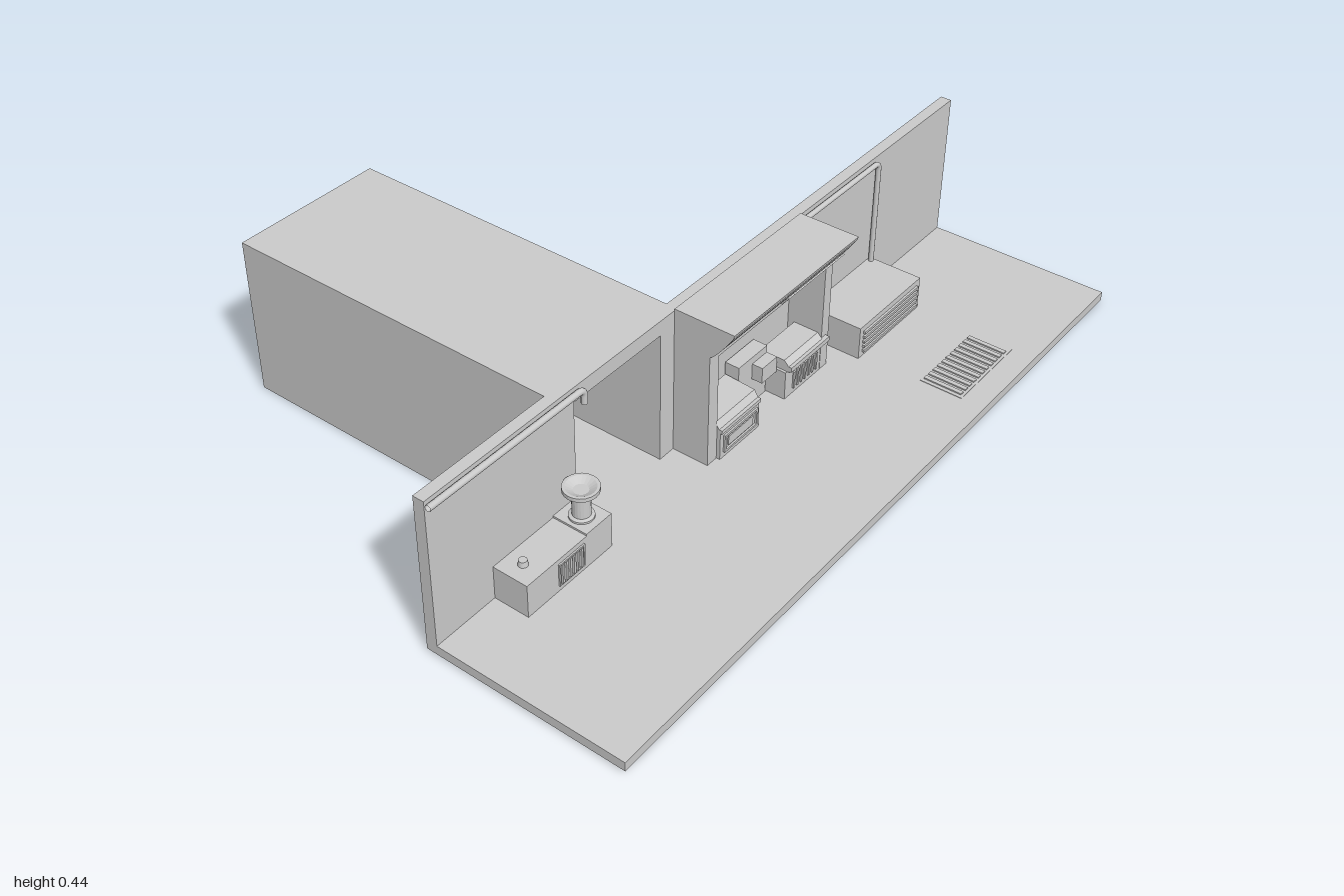
import * as THREE from 'three';

const material = new THREE.MeshStandardMaterial({ color: 0xcccccc, side: THREE.DoubleSide });

function add(parent, name, geometry) {
  const mesh = new THREE.Mesh(geometry, material);
  mesh.name = name;
  parent.add(mesh);
  return mesh;
}

// box given by its limits on each axis
function box(parent, name, x0, x1, y0, y1, z0, z1) {
  const mesh = add(parent, name, new THREE.BoxGeometry(x1 - x0, y1 - y0, z1 - z0));
  mesh.position.set((x0 + x1) / 2, (y0 + y1) / 2, (z0 + z1) / 2);
  return mesh;
}

function polygon(points) {
  return new THREE.Shape(points.map(([x, y]) => new THREE.Vector2(x, y)));
}

// outline in (x, y), extruded from z0 to z1
function slab(parent, name, shape, z0, z1) {
  const geometry = new THREE.ExtrudeGeometry(shape, { depth: z1 - z0, bevelEnabled: false });
  geometry.translate(0, 0, z0);
  return add(parent, name, geometry);
}

// side profile in (z, y), extruded from x0 to x1
function profileX(parent, name, points, x0, x1) {
  const shape = polygon(points.map(([z, y]) => [-z, y]));
  const geometry = new THREE.ExtrudeGeometry(shape, { depth: x1 - x0, bevelEnabled: false });
  geometry.rotateY(Math.PI / 2).translate(x0, 0, 0);
  return add(parent, name, geometry);
}

// rectangular rim standing on a front face
function rim(parent, name, x0, x1, y0, y1, z0, z1, w) {
  const shape = polygon([[x0, y0], [x1, y0], [x1, y1], [x0, y1]]);
  shape.holes.push(polygon([[x0 + w, y0 + w], [x0 + w, y1 - w], [x1 - w, y1 - w], [x1 - w, y0 + w]]));
  return slab(parent, name, shape, z0, z1);
}

function pipe(parent, name, points, radius) {
  const path = new THREE.CurvePath();
  const p = points.map((q) => new THREE.Vector3(...q));
  // straight runs joined by small rounded elbows
  let start = p[0];
  for (let i = 1; i < p.length - 1; i++) {
    const before = p[i].clone().add(p[i - 1].clone().sub(p[i]).setLength(0.018));
    const after = p[i].clone().add(p[i + 1].clone().sub(p[i]).setLength(0.018));
    path.add(new THREE.LineCurve3(start, before));
    path.add(new THREE.QuadraticBezierCurve3(before, p[i], after));
    start = after;
  }
  path.add(new THREE.LineCurve3(start, p[p.length - 1]));
  return add(parent, name, new THREE.TubeGeometry(path, 120, radius, 10));
}

function group(parent, name) {
  const g = new THREE.Group();
  g.name = name;
  parent.add(g);
  return g;
}

export function createModel() {
  const model = new THREE.Group();
  model.name = 'streetCorner';

  // pavement and street wall with a doorway notch
  box(model, 'pavement', -1, 1, 0.005, 0.03, 0.2, 0.73);
  slab(model, 'streetWall', polygon([
    [-1, 0.005], [-0.545, 0.005], [-0.545, 0.39], [-0.245, 0.39], [-0.245, 0.005],
    [1, 0.005], [1, 0.43], [-1, 0.43],
  ]), 0.2, 0.23);

  // long hollow passage behind the doorway
  const passage = group(model, 'passage');
  box(passage, 'passageFloor', -0.605, -0.185, 0, 0.03, -0.73, 0.2);
  box(passage, 'passageThreshold', -0.605, -0.185, 0, 0.01, 0.2, 0.29);
  box(passage, 'passageRoof', -0.605, -0.185, 0.39, 0.43, -0.73, 0.2);
  box(passage, 'passageWallRight', -0.605, -0.545, 0.03, 0.39, -0.73, 0.2);
  box(passage, 'passageWallLeft', -0.245, -0.185, 0.03, 0.39, -0.73, 0.2);
  box(passage, 'passageEnd', -0.545, -0.245, 0.03, 0.39, -0.73, -0.67);

  // shop front: open frame under a curved canopy
  const shop = group(model, 'shop');
  slab(shop, 'shopFrame', polygon([
    [-0.195, 0.03], [-0.16, 0.03], [-0.16, 0.33], [0.27, 0.33], [0.27, 0.03],
    [0.3, 0.03], [0.3, 0.36], [-0.195, 0.36],
  ]), 0.23, 0.33);
  const curve = [];
  for (let i = 0; i <= 8; i++) {
    const t = i / 8;
    curve.push([0.33 + 0.062 * t, 0.345 + 0.08 * Math.pow(t, 1.25)]);
  }
  profileX(shop, 'canopy', [[0.23, 0.345], ...curve, [0.395, 0.435], [0.23, 0.435]], -0.195, 0.3);
  const sign = rim(shop, 'canopyPanel', -0.115, 0.115, -0.014, 0.014, 0, 0.004, 0.003);
  sign.position.set(0.155, 0.385, 0.366);
  sign.rotation.x = 0.68;

  // machines inside the shop
  const machines = group(shop, 'machines');
  profileX(machines, 'leftMachine',
    [[0.24, 0.03], [0.34, 0.03], [0.34, 0.112], [0.325, 0.135], [0.24, 0.14]], -0.16, -0.005);
  box(machines, 'leftMachineLip', -0.16, -0.005, 0.108, 0.118, 0.335, 0.345);
  rim(machines, 'leftMachineTray', -0.147, -0.015, 0.045, 0.095, 0.34, 0.345, 0.006);
  box(machines, 'leftMachineSlot', -0.13, -0.032, 0.056, 0.082, 0.34, 0.343);
  box(machines, 'tallMachine', 0, 0.115, 0.03, 0.17, 0.235, 0.275);
  box(machines, 'tallMachineHead', 0.055, 0.115, 0.105, 0.15, 0.275, 0.305);
  box(machines, 'rightMachine', 0.118, 0.268, 0.03, 0.11, 0.25, 0.33);
  profileX(machines, 'rightMachineLid',
    [[0.25, 0.11], [0.337, 0.11], [0.337, 0.122], [0.32, 0.14], [0.25, 0.14]], 0.125, 0.268);
  box(machines, 'rightMachineShelf', 0.125, 0.288, 0.113, 0.126, 0.33, 0.342);
  for (let i = 0; i < 7; i++) {
    const x = 0.15 + i * 0.016;
    box(machines, 'rightMachineRib', x, x + 0.006, 0.045, 0.095, 0.33, 0.334);
  }

  // slatted bin beside the shop
  const bin = group(model, 'slattedBin');
  box(bin, 'binBody', 0.365, 0.645, 0.03, 0.122, 0.23, 0.383);
  for (let i = 0; i < 5; i++) {
    const y = 0.043 + i * 0.014;
    box(bin, 'binSlat', 0.38, 0.63, y, y + 0.007, 0.383, 0.389);
  }

  // stove counter on the right-hand side
  const counter = group(model, 'counter');
  box(counter, 'counterBody', -0.82, -0.625, 0.03, 0.12, 0.23, 0.325);
  box(counter, 'counterEnd', -0.625, -0.54, 0.03, 0.125, 0.23, 0.325);
  rim(counter, 'grilleFrame', -0.72, -0.635, 0.045, 0.107, 0.325, 0.329, 0.004);
  for (let i = 0; i < 6; i++) {
    const x = -0.712 + i * 0.0125;
    box(counter, 'grilleBar', x, x + 0.006, 0.049, 0.103, 0.325, 0.331);
  }
  const knob = add(counter, 'counterKnob', new THREE.CylinderGeometry(0.01, 0.012, 0.014, 16));
  knob.position.set(-0.775, 0.127, 0.275);

  // flared vent
  const vent = add(counter, 'flaredVent', new THREE.LatheGeometry([
    [0.03, 0.122], [0.03, 0.13], [0.022, 0.133], [0.022, 0.185], [0.038, 0.2],
    [0.043, 0.2], [0.043, 0.21], [0.036, 0.21], [0.018, 0.2], [0, 0.2],
  ].map(([r, y]) => new THREE.Vector2(r, y)), 20));
  vent.position.set(-0.585, 0, 0.278);
  vent.material = material.clone();
  vent.material.flatShading = true;

  // wall pipes
  const z = 0.24;
  pipe(model, 'rightPipe', [[-1, 0.418, z], [-0.522, 0.418, z], [-0.522, 0.38, z]], 0.008);
  pipe(model, 'leftPipe', [[0.3, 0.418, z], [0.635, 0.418, z], [0.635, 0.122, z]], 0.007);

  // drain grate in the pavement
  const grate = group(model, 'drainGrate');
  box(grate, 'gratePlate', 0.385, 0.635, 0.028, 0.0315, 0.55, 0.667);
  for (let i = 0; i < 11; i++) {
    const x = 0.395 + i * 0.0208;
    box(grate, 'grateBar', x, x + 0.012, 0.03, 0.035, 0.555, 0.66);
  }
  return model;
}
